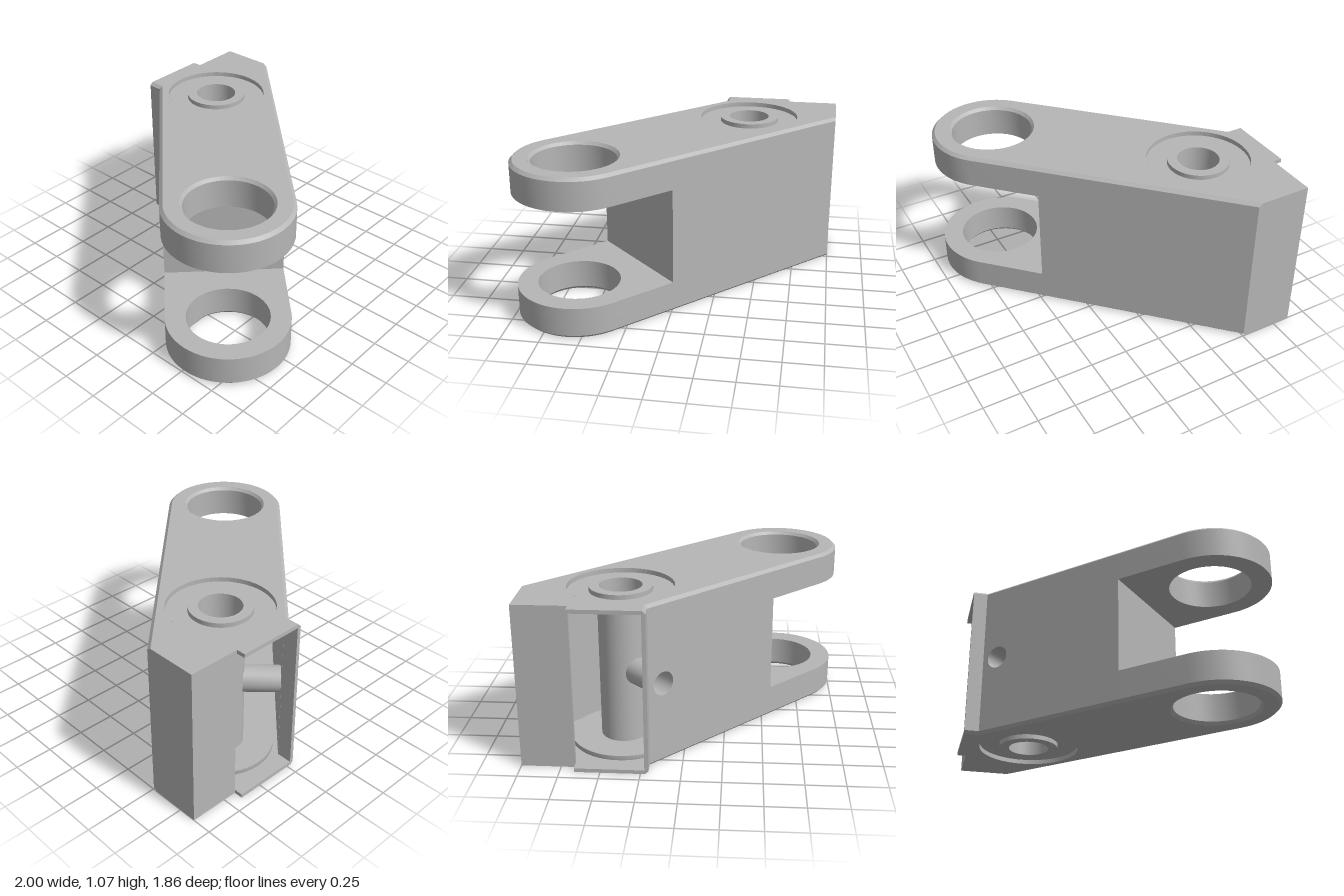
import * as THREE from 'three';
import { toCreasedNormals } from 'three/addons/utils/BufferGeometryUtils.js';

const H = 1.065, T = 0.025, R = 0.4, C = 0.02;   // height, sheet thickness, eye radius, chamfer
const FORK = 0.21, MID = -0.07, CUT = -0.475;    // fork thickness, arm centre line, slot line
const EYE = [-0.6, 0.53], HUB = [0.4, -0.47];
const S2 = Math.SQRT2;

export function createModel() {
  const model = new THREE.Group();
  const metal = new THREE.MeshStandardMaterial({ color: 0xb6b6b6, side: THREE.DoubleSide });
  metal.name = 'greyMetal';

  function add(name, geometry, parent = model) {
    const mesh = new THREE.Mesh(toCreasedNormals(geometry, 0.5), metal);
    mesh.name = name;
    parent.add(mesh);
    return mesh;
  }

  // Plan points on the two long sides, for an offset r from the centre line
  const backSide = (x, r) => [x, MID - r * S2 - x];
  const frontSide = (x, r) => [x, MID + r * S2 - x];
  const cutBack = r => backSide((MID + CUT - r * S2) / 2, r);
  const cutFront = r => frontSide((MID + CUT + r * S2) / 2, r);

  function eyeArc(r) {
    const pts = [];
    for (let i = 0; i <= 32; i++) {
      const a = Math.PI * (1.25 - i / 32);
      pts.push([EYE[0] + r * Math.cos(a), EYE[1] + r * Math.sin(a)]);
    }
    return pts;
  }

  function outline(r) {
    const x = 0.2 + R - r;
    return [[x, -0.93], backSide(x, r), ...eyeArc(r), frontSide(1, r),
      [1, -0.87], [0.66, -0.87], [0.66, -0.93]];
  }

  // Plan polygon extruded between two heights, with round holes [x, z, radius]
  function slab(pts, y0, y1, holes = []) {
    const shape = new THREE.Shape(pts.map(p => new THREE.Vector2(...p)));
    for (const [x, z, r] of holes) shape.holes.push(new THREE.Path().absarc(x, z, r, 0, Math.PI * 2, true));
    return new THREE.ExtrudeGeometry(shape, { depth: y1 - y0, bevelEnabled: false, curveSegments: 32 })
      .rotateX(Math.PI / 2).translate(0, y1, 0);
  }

  // Closed band between two outlines at two heights
  function band(lower, y0, upper, y1) {
    const v = [];
    lower.forEach((a, i) => {
      const j = (i + 1) % lower.length, b = lower[j], c = upper[j], d = upper[i];
      v.push(a[0], y0, a[1], b[0], y0, b[1], c[0], y1, c[1]);
      v.push(a[0], y0, a[1], c[0], y1, c[1], d[0], y1, d[1]);
    });
    const g = new THREE.BufferGeometry();
    g.setAttribute('position', new THREE.Float32BufferAttribute(v, 3));
    g.computeVertexNormals();
    return g;
  }

  const lathe = (pts, [x, z]) =>
    new THREE.LatheGeometry(pts.map(p => new THREE.Vector2(...p)), 48).translate(x, 0, z);

  // Top and bottom skins with chamfers, fork cheeks and eye bores
  const holes = [[...EYE, 0.285], [...HUB, 0.335]];
  const cheek = [cutBack(R), ...eyeArc(R), cutFront(R)];
  const rim = [...cheek, cutFront(R - T), ...eyeArc(R - T).reverse(), cutBack(R - T)];
  const bore = [[0.268, H - FORK], [0.29, H - FORK], [0.29, H - C], [0.285, H],
    [0.268, H - C], [0.268, H - FORK]];
  for (const top of [true, false]) {
    const side = top ? 'upper' : 'lower';
    const span = (a, b) => (top ? [H - b, H - a] : [a, b]);
    add(side + 'Skin', slab(outline(R - C), ...span(0, T), holes));
    add(side + 'Chamfer', top
      ? band(outline(R), H - C, outline(R - C), H)
      : band(outline(R - C), 0, outline(R), C));
    add(side + 'ForkRim', slab(rim, ...span(C, FORK)));
    add(side + 'ForkInnerPlate', slab(cheek, ...span(FORK - T, FORK), [[...EYE, 0.27]]));
    add(side + 'EyeBore', lathe(top ? bore : bore.map(([r, y]) => [r, H - y]).reverse(), EYE));
  }

  // Front wall, turning round the end to the edge of the rear opening
  add('frontWall', slab([cutFront(R), frontSide(1, R), [1, -0.87], [0.66, -0.87],
    [0.66, -0.87 + T], [1 - T, -0.87 + T], frontSide(1 - T, R - T), cutFront(R - T)], C, H - C));

  // Wall at the end of the fork slot
  const a = cutBack(R), b = cutFront(R), o = T / S2;
  add('slotWall', slab([a, b, [b[0] + o, b[1] - o], [a[0] + o, a[1] - o]], FORK - T, H - FORK + T));

  // Lip beside the rear opening
  add('openingLip', slab([[0.2, -0.93], [0.2 + T, -0.93], backSide(0.2 + T, R - T), backSide(0.2, R)], C, H - C));

  // Back wall with a round cross hole and its tube, in a frame along the arm
  const back = new THREE.Group();
  back.name = 'backWallAssembly';
  back.position.set(a[0], 0, a[1]);
  back.rotation.y = Math.PI / 4;
  model.add(back);
  const length = (0.2 - a[0]) * S2;
  const hubU = (HUB[0] - a[0] - HUB[1] + a[1]) / S2;
  const panel = new THREE.Shape([[0, C], [length, C], [length, H - C], [0, H - C]].map(p => new THREE.Vector2(...p)));
  panel.holes.push(new THREE.Path().absarc(hubU, H / 2, 0.077, 0, Math.PI * 2, true));
  add('backWall', new THREE.ExtrudeGeometry(panel, { depth: T, bevelEnabled: false, curveSegments: 24 }), back);
  for (const [name, r] of [['crossTubeInside', 0.077], ['crossTubeOutside', 0.086]]) {
    add(name, new THREE.CylinderGeometry(r, r, 0.25, 32, 1, true)
      .rotateX(Math.PI / 2).translate(hubU, H / 2, 0.01 + 0.125), back);
  }

  // Pivot hub: through tube with a recessed ring at both ends
  const D = 0.03;
  const hubTop = [[0.135, H], [0.2, H], [0.2, H - D], [0.335, H - D], [0.335, H],
    [0.345, H - T], [0.345, H - D - T], [0.15, H - D - T]];
  const hubBottom = hubTop.map(([r, y]) => [r, H - y]);
  add('pivotHub', lathe([...hubBottom, ...hubTop.slice().reverse(), hubBottom[0]].reverse(), HUB));

  return model;
}
